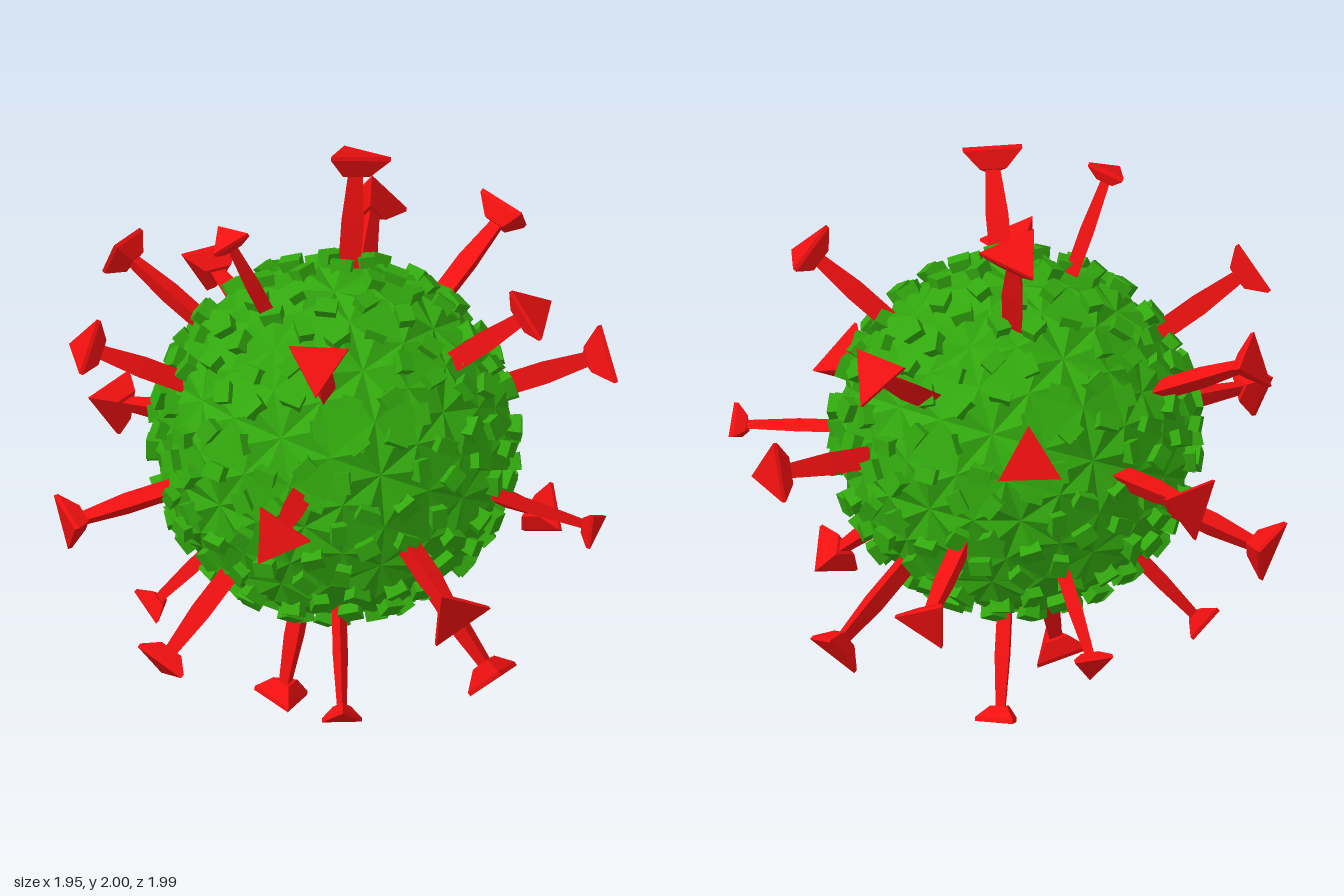
import * as THREE from 'three';
import { mergeGeometries } from 'three/addons/utils/BufferGeometryUtils.js';

const CENTRE = new THREE.Vector3(-0.025, 1.025, -0.005);
const REACH = 1.015;

// Each spike: azimuth from the front, elevation and twist in degrees, head width
const SPIKES = [
  [-114, 66, 27, 0.14], [120, 69, 29, 0.22], [21.5, 42.5, 75, 0.20],
  [-53, 46.5, 0, 0.21], [-128, 28, 60, 0.20], [82, 37.5, 0, 0.21],
  [123, 25, 60, 0.22], [-60, 11, 90, 0.21], [61, 8, 60, 0.21],
  [-117, -7.5, -8, 0.20], [-23, -10, 90, 0.23], [17, -6, 90, 0.14],
  [101.5, -12.5, 26, 0.20], [-96, -36, -30, 0.19], [-46, -44, 60, 0.14],
  [-150, -50, 60, 0.14], [2.5, -44, 90, 0.20], [70, -34, 31, 0.20],
  [114, -62, 30, 0.16], [-100, -77, 0, 0.19], [-171, 28, 12, 0.20],
  [158, 9.5, 0, 0.22], [-176, -13, 0, 0.22], [137, -25, 0, 0.14],
];

// Turns local y to the given direction and local z towards the hint
function aim(direction, hint, origin) {
  const y = direction.clone().normalize();
  const z = hint.clone().addScaledVector(y, -hint.dot(y)).normalize();
  const x = new THREE.Vector3().crossVectors(y, z);
  return new THREE.Matrix4().makeBasis(x, y, z).setPosition(origin);
}

function createBody(material) {
  const body = new THREE.Group();
  body.name = 'body';
  const base = new THREE.IcosahedronGeometry(1, 1).getAttribute('position');
  const corner = (i) => new THREE.Vector3().fromBufferAttribute(base, i).normalize();
  const between = (...points) =>
    points.reduce((sum, p) => sum.add(p), new THREE.Vector3()).normalize();
  const at = (p, radius) => p.clone().multiplyScalar(radius);

  const shell = [];
  const blocks = [];
  const triangle = (...points) => points.forEach((p) => shell.push(p.x, p.y, p.z));

  for (let i = 0; i < base.count; i += 3) {
    const c = [corner(i), corner(i + 1), corner(i + 2)];
    const mid = c.map((p, k) => between(p, c[(k + 1) % 3]));
    const faceCentre = between(...c);

    // Raised middle facet
    triangle(...mid.map((p) => at(p, 0.618)));

    // Three poked corner facets meeting at a star-shaped dent
    c.forEach((p, k) => {
      const next = mid[k];
      const last = mid[(k + 2) % 3];
      const ring = [at(p, 0.6), at(next, 0.618), at(last, 0.618)];
      const peak = between(p, next, last);
      for (let j = 0; j < 3; j++) triangle(ring[j], ring[(j + 1) % 3], at(peak, 0.63));

      // Block flaring outwards, leaning towards the middle of the face
      const block = new THREE.CylinderGeometry(0.05, 0.038, 0.09, 4);
      block.rotateY(Math.PI / 4);
      block.scale(1.1, 1, 0.8);
      block.rotateX(0.25);
      const spot = between(peak, peak, peak, faceCentre);
      block.applyMatrix4(aim(spot, faceCentre.clone().sub(p), at(spot, 0.612)));
      blocks.push(block);
    });
  }

  const shellGeometry = new THREE.BufferGeometry();
  shellGeometry.setAttribute('position', new THREE.Float32BufferAttribute(shell, 3));
  shellGeometry.computeVertexNormals();
  const shellMesh = new THREE.Mesh(shellGeometry, material);
  shellMesh.name = 'shell';
  const blockMesh = new THREE.Mesh(mergeGeometries(blocks), material);
  blockMesh.name = 'surfaceBlocks';
  body.add(shellMesh, blockMesh);
  body.position.copy(CENTRE);
  return body;
}

// Three-sided prism turned from a profile of [radius, height] pairs
function prism(name, profile, material) {
  const points = profile.map(([r, h]) => new THREE.Vector2(r, h));
  const mesh = new THREE.Mesh(new THREE.LatheGeometry(points, 3), material);
  mesh.name = name;
  return mesh;
}

function createSpike([azimuth, elevation, twist, width], material) {
  const spike = new THREE.Group();
  spike.name = 'spike';
  const neck = REACH - 0.36 * width;

  const stalk = prism('spikeStalk', [
    [0, 0.55], [0.21 * width, 0.55], [0.22 * width, 0.78],
    [0.14 * width, neck + 0.01], [0, neck + 0.01],
  ], material);
  const head = prism('spikeHead', [
    [0, neck], [0.26 * width, neck], [0.577 * width, REACH - 0.015],
    [0.577 * width, REACH], [0, REACH],
  ], material);
  stalk.rotation.y = head.rotation.y = THREE.MathUtils.degToRad(twist);

  spike.add(stalk, head);
  spike.position.copy(CENTRE);
  spike.rotation.set(
    THREE.MathUtils.degToRad(90 - elevation), THREE.MathUtils.degToRad(azimuth), 0, 'YXZ');
  return spike;
}

export function createModel() {
  const model = new THREE.Group();
  model.name = 'spikedSphere';
  const green = new THREE.MeshStandardMaterial({ color: 0x32a80e, flatShading: true });
  const red = new THREE.MeshStandardMaterial({ color: 0xf01010, flatShading: true });

  model.add(createBody(green));
  for (const spec of SPIKES) model.add(createSpike(spec, red));
  return model;
}
